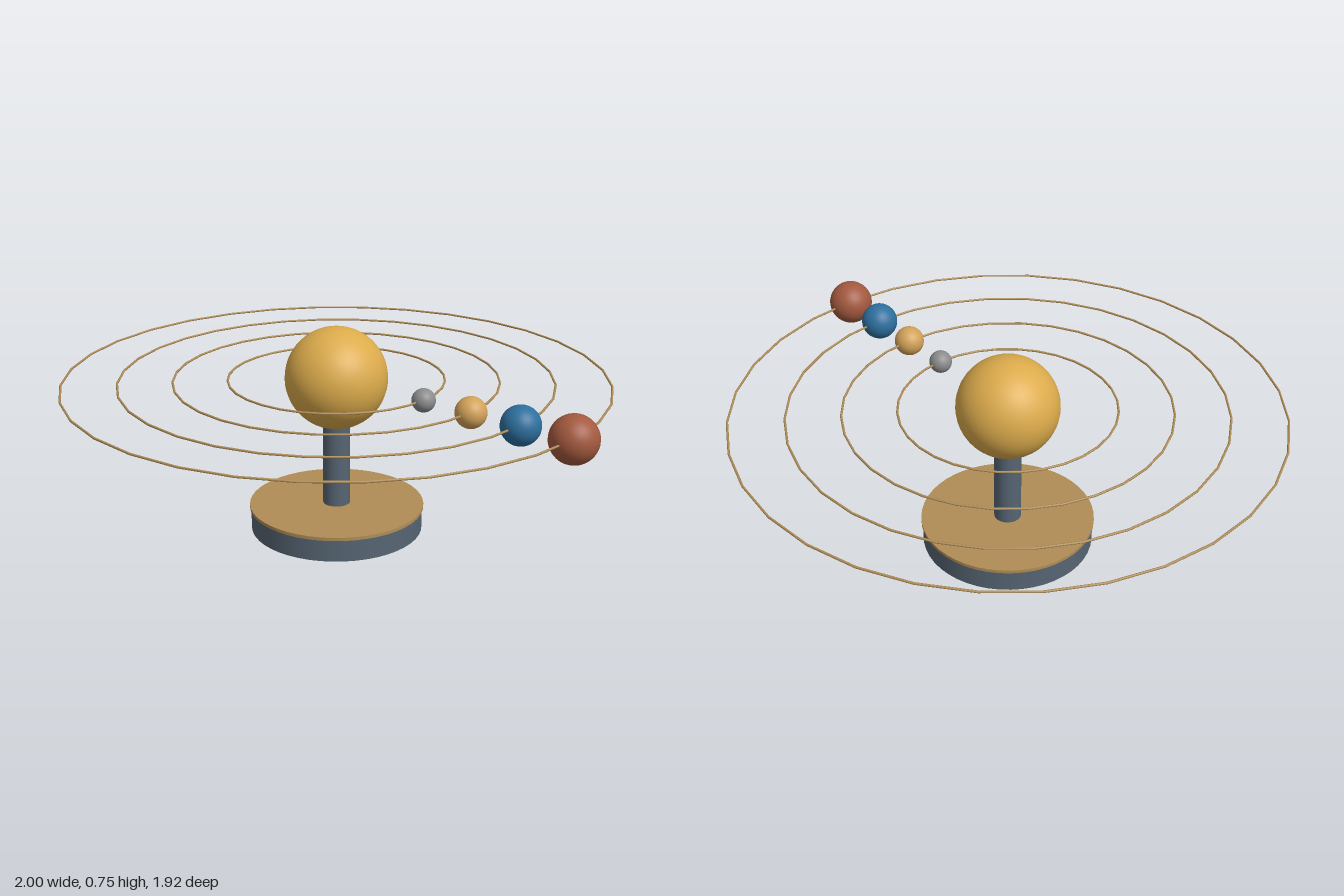
import * as THREE from 'three';

const material = (name, color) => {
  const m = new THREE.MeshStandardMaterial({ color });
  m.name = name;
  return m;
};

export function createModel() {
  const model = new THREE.Group();
  model.name = 'orrery';
  const centreX = -0.04;
  const orbitY = 0.565;

  const steel = material('blue grey steel', 0x566573);
  const brass = material('brass', 0xb08d57);
  const gold = material('sun gold', 0xdcab4c);

  const add = (name, geometry, mat, x, y) => {
    const mesh = new THREE.Mesh(geometry, mat);
    mesh.name = name;
    mesh.position.set(centreX + x, y, 0);
    model.add(mesh);
    return mesh;
  };

  // Stand: round base, brass cap plate and pole
  add('base', new THREE.CylinderGeometry(0.31, 0.31, 0.08, 48), steel, 0, 0.04);
  add('basePlate', new THREE.CylinderGeometry(0.315, 0.315, 0.012, 48), brass, 0, 0.086);
  add('pole', new THREE.CylinderGeometry(0.049, 0.049, 0.33, 24), steel, 0, 0.255);

  // Central sun
  add('sun', new THREE.SphereGeometry(0.182, 40, 28), gold, 0, orbitY);

  // Planets, each on its own thin ring
  const planets = [
    ['inner', 0.381, 0.041, material('planet grey', 0x8c8c8c)],
    ['second', 0.572, 0.054, material('planet tan', 0xd2a259)],
    ['third', 0.763, 0.067, material('planet blue', 0x2d6f9e)],
    ['outer', 0.956, 0.081, material('planet rust', 0xa3593f)],
  ];
  for (const [name, orbit, radius, mat] of planets) {
    const ring = new THREE.TorusGeometry(orbit, 0.004, 8, 32).rotateX(Math.PI / 2);
    add(name + 'Orbit', ring, brass, 0, orbitY);
    add(name + 'Planet', new THREE.SphereGeometry(radius, 32, 20), mat, orbit, orbitY);
  }
  return model;
}
